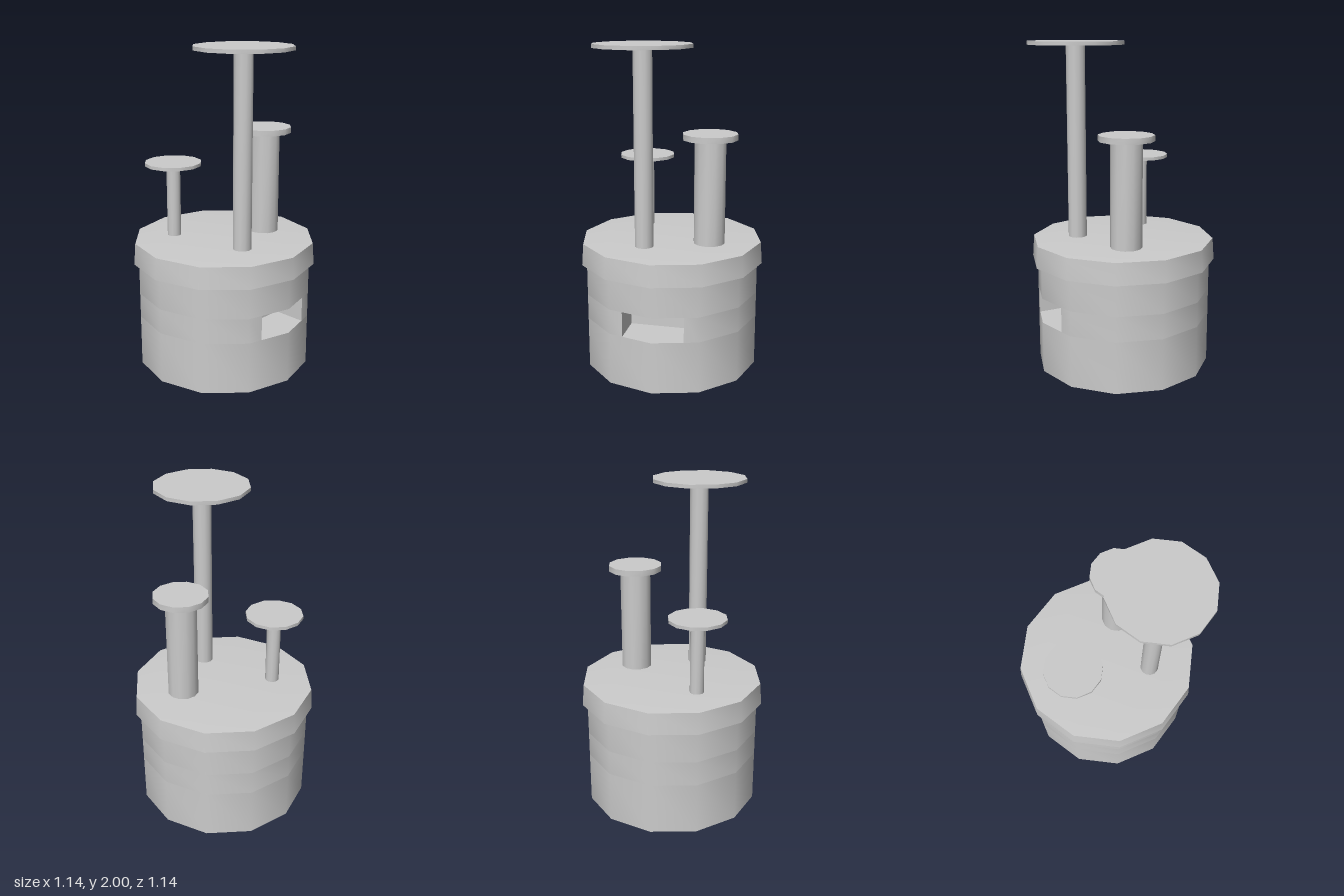
import * as THREE from 'three';
import { toCreasedNormals } from 'three/addons/utils/BufferGeometryUtils.js';

const SIDES = 12;
const CREASE = 0.65; // smooths the 30 degree wall edges, keeps rims sharp

export function createModel() {
  const model = new THREE.Group();
  const material = new THREE.MeshStandardMaterial({ color: 0xcccccc });

  const add = (parent, name, geometry, x = 0, y = 0, z = 0) => {
    const mesh = new THREE.Mesh(toCreasedNormals(geometry, CREASE), material);
    mesh.name = name;
    mesh.position.set(x, y, z);
    parent.add(mesh);
  };

  // Twelve-sided drum, with a window recess in the middle band facing +x
  const R = 0.54, halfWidth = 0.185, recessBack = 0.29;
  const windowBottom = 0.32, windowTop = 0.475, drumTop = 0.68;
  const drum = new THREE.Group();
  drum.name = 'drum';
  model.add(drum);

  const ring = [];
  for (let i = 0; i < SIDES; i++) {
    const a = (i / SIDES) * Math.PI * 2;
    ring.push(new THREE.Vector2(R * Math.cos(a), R * Math.sin(a)));
  }
  const edgeX = R - halfWidth * Math.tan(Math.PI / SIDES);
  const notched = [
    ...ring.slice(1),
    new THREE.Vector2(edgeX, -halfWidth),
    new THREE.Vector2(recessBack, -halfWidth),
    new THREE.Vector2(recessBack, halfWidth),
    new THREE.Vector2(edgeX, halfWidth),
  ];
  const band = (name, outline, bottom, top) => {
    const geometry = new THREE.ExtrudeGeometry(new THREE.Shape(outline), {
      depth: top - bottom, bevelEnabled: false,
    });
    geometry.rotateX(-Math.PI / 2);
    add(drum, name, geometry, 0, bottom, 0);
  };
  band('drumBase', ring, 0, windowBottom);
  band('drumWindowBand', notched, windowBottom, windowTop);
  band('drumUpper', ring, windowTop, drumTop);

  // Overhanging lid with slightly tapered rim and shallow crown
  const lidProfile = [[0.5, 0.67], [0.57, 0.67], [0.56, 0.803], [0.4, 0.812], [0, 0.815]]
    .map(([r, y]) => new THREE.Vector2(r, y));
  add(model, 'lid', new THREE.LatheGeometry(lidProfile, SIDES));

  // Three posts, each capped by a flat disc
  const posts = [
    { name: 'tallPost', x: 0.258, z: 0.108, r: 0.057, discR: 0.29, top: 2, thick: 0.022 },
    { name: 'thickPost', x: 0.1, z: -0.257, r: 0.095, discR: 0.165, top: 1.48, thick: 0.035 },
    { name: 'shortPost', x: -0.228, z: 0.21, r: 0.043, discR: 0.175, top: 1.28, thick: 0.02 },
  ];
  for (const p of posts) {
    const post = new THREE.Group();
    post.name = p.name;
    post.position.set(p.x, 0, p.z);
    model.add(post);
    const foot = 0.8, head = p.top - p.thick;
    add(post, p.name + 'Shaft',
      new THREE.CylinderGeometry(p.r, p.r, head - foot, SIDES), 0, (head + foot) / 2, 0);
    add(post, p.name + 'Disc',
      new THREE.CylinderGeometry(p.discR, p.discR, p.thick, SIDES), 0, p.top - p.thick / 2, 0);
  }
  return model;
}
